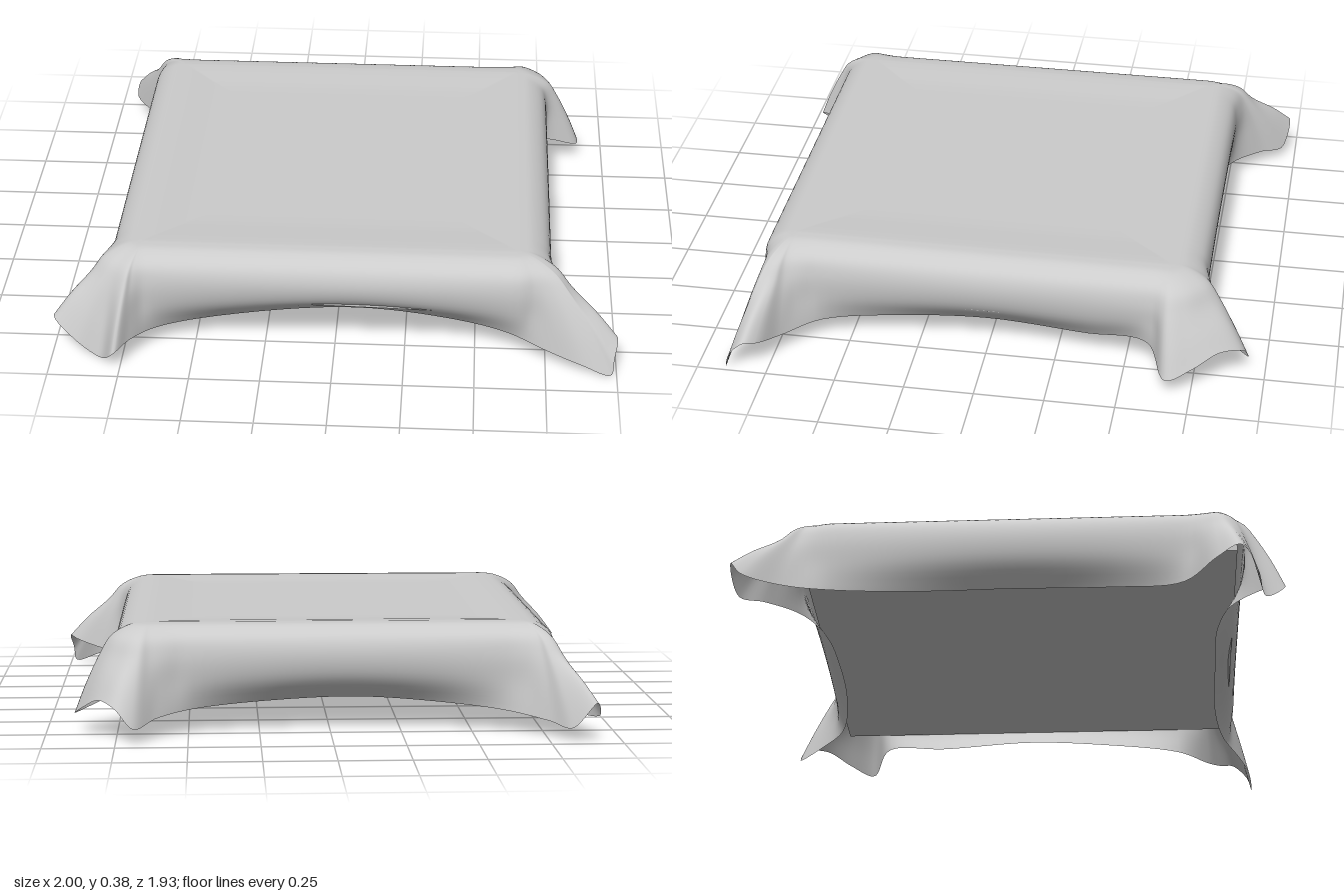
import * as THREE from 'three';

const COLS = 288;        // samples around the cloth
const TOP_ROWS = 12;     // rings across the flat top
const SIDE_ROWS = 24;    // rings from the shoulder to the hem
const CENTRE = { x: -0.02, z: 0.027 };
const EDGE = { x0: -0.805, x1: 0.765, z0: -0.77, z1: 0.825 };
const ROUND = 0.13;      // corner radius of the top outline

// Hem of the cloth, counterclockwise from above, with a fold at each corner
const HEM = [
  [-0.4, 0.1, 0.735], [0.05, 0.15, 0.735], [0.4, 0.12, 0.74], [0.61, 0.09, 0.775],
  // front left fold, pinched
  [0.76, 0.06, 0.845], [0.88, 0.035, 0.89], [0.98, 0.005, 0.9], [0.99, 0.06, 0.885],
  [1, 0.12, 0.83], [0.97, 0.11, 0.785], [0.86, 0.08, 0.72], [0.75, 0.085, 0.6],
  // left side
  [0.695, 0.1, 0.3], [0.68, 0.11, 0], [0.695, 0.095, -0.35], [0.755, 0.12, -0.58],
  // back left fold, spread wide
  [0.9, 0.065, -0.66], [0.87, 0.1, -0.75], [0.81, 0.14, -0.84], [0.75, 0.12, -0.92],
  [0.69, 0.055, -0.935], [0.61, 0.075, -0.84], [0.48, 0.09, -0.74],
  // back side
  [0.2, 0.11, -0.69], [-0.1, 0.12, -0.685], [-0.4, 0.1, -0.7], [-0.62, 0.08, -0.765],
  // back right fold, pinched
  [-0.76, 0.06, -0.87], [-0.83, 0.05, -0.95], [-0.91, 0.14, -0.97], [-0.925, 0.09, -0.93],
  [-0.85, 0.08, -0.8], [-0.79, 0.085, -0.62],
  // right side
  [-0.735, 0.1, -0.3], [-0.72, 0.11, 0], [-0.735, 0.1, 0.35], [-0.79, 0.085, 0.6],
  // front right fold, spread wide
  [-0.95, 0.1, 0.72], [-1, 0.12, 0.8], [-0.92, 0.06, 0.86], [-0.83, 0.005, 0.885],
  [-0.77, 0.07, 0.96], [-0.72, 0.085, 0.89], [-0.63, 0.075, 0.785],
];

// Profile of one column of cloth: rounded shoulder, side, hem
function columnProfile(hem) {
  const core = new THREE.Vector3(
    THREE.MathUtils.clamp(hem.x, EDGE.x0 + ROUND, EDGE.x1 - ROUND), 0,
    THREE.MathUtils.clamp(hem.z, EDGE.z0 + ROUND, EDGE.z1 - ROUND));
  const out = hem.clone().sub(core).setY(0);
  const flare = Math.max(0, out.length() - ROUND);
  out.normalize();
  const at = (r, y) => core.clone().addScaledVector(out, r).setY(y);
  // folds slope outward right from the shoulder, plain sides tuck in under the board
  const shoulder = at(ROUND + 0.33 * flare, 0.28);
  const middle = shoulder.clone().lerp(hem, Math.min(0.2 + 4 * flare, 0.55));
  middle.y = (shoulder.y + hem.y) / 2;
  return new THREE.CatmullRomCurve3([
    at(ROUND - 0.125, 0.386),
    at(ROUND - 0.07 + 0.05 * flare, 0.379),
    at(ROUND - 0.018 + 0.17 * flare, 0.342),
    shoulder,
    middle,
    hem,
  ], false, 'centripetal');
}

function clothGeometry() {
  const hemCurve = new THREE.CatmullRomCurve3(
    HEM.map((p) => new THREE.Vector3(...p)), true, 'centripetal');
  const rows = TOP_ROWS + SIDE_ROWS + 1;
  const positions = [];
  const indices = [];
  for (let j = 0; j < COLS; j++) {
    const curve = columnProfile(hemCurve.getPoint(j / COLS));
    const rim = curve.getPoint(0);
    for (let i = 0; i < rows; i++) {
      if (i < TOP_ROWS) {
        // flat top, dipping very slightly inside the rim
        const s = i / TOP_ROWS;
        positions.push(
          THREE.MathUtils.lerp(CENTRE.x, rim.x, s),
          0.376 + 0.01 * THREE.MathUtils.smoothstep(s, 0.75, 1),
          THREE.MathUtils.lerp(CENTRE.z, rim.z, s));
      } else {
        positions.push(...curve.getPoint((i - TOP_ROWS) / SIDE_ROWS).toArray());
      }
    }
  }
  for (let j = 0; j < COLS; j++) {
    for (let i = 0; i < rows - 1; i++) {
      const a = j * rows + i;
      const b = ((j + 1) % COLS) * rows + i;
      if (i > 0) indices.push(a, a + 1, b);
      indices.push(b, a + 1, b + 1);
    }
  }
  const geometry = new THREE.BufferGeometry();
  geometry.setAttribute('position', new THREE.Float32BufferAttribute(positions, 3));
  geometry.setIndex(indices);
  geometry.computeVertexNormals();
  // the rings meet in one point at the centre
  for (let j = 0; j < COLS; j++) geometry.attributes.normal.setXYZ(j * rows, 0, 1, 0);
  return geometry;
}

// Board under the cloth, its underside tilting gently
function boardGeometry() {
  const geometry = new THREE.BoxGeometry(1.52, 0.1, 1.54);
  const p = geometry.attributes.position;
  for (let i = 0; i < p.count; i++) {
    const y = p.getY(i) > 0 ? 0.26 : 0.195 - 0.02 * p.getX(i);
    p.setXYZ(i, p.getX(i) + CENTRE.x, y, p.getZ(i) + CENTRE.z);
  }
  geometry.computeVertexNormals();
  return geometry;
}

export function createModel() {
  const group = new THREE.Group();
  group.name = 'drapedCloth';

  const cloth = new THREE.Mesh(clothGeometry(),
    new THREE.MeshStandardMaterial({ color: 0xcccccc, side: THREE.DoubleSide }));
  cloth.name = 'cloth';

  const board = new THREE.Mesh(boardGeometry(),
    new THREE.MeshStandardMaterial({ color: 0xcccccc }));
  board.name = 'board';

  group.add(cloth, board);
  return group;
}
